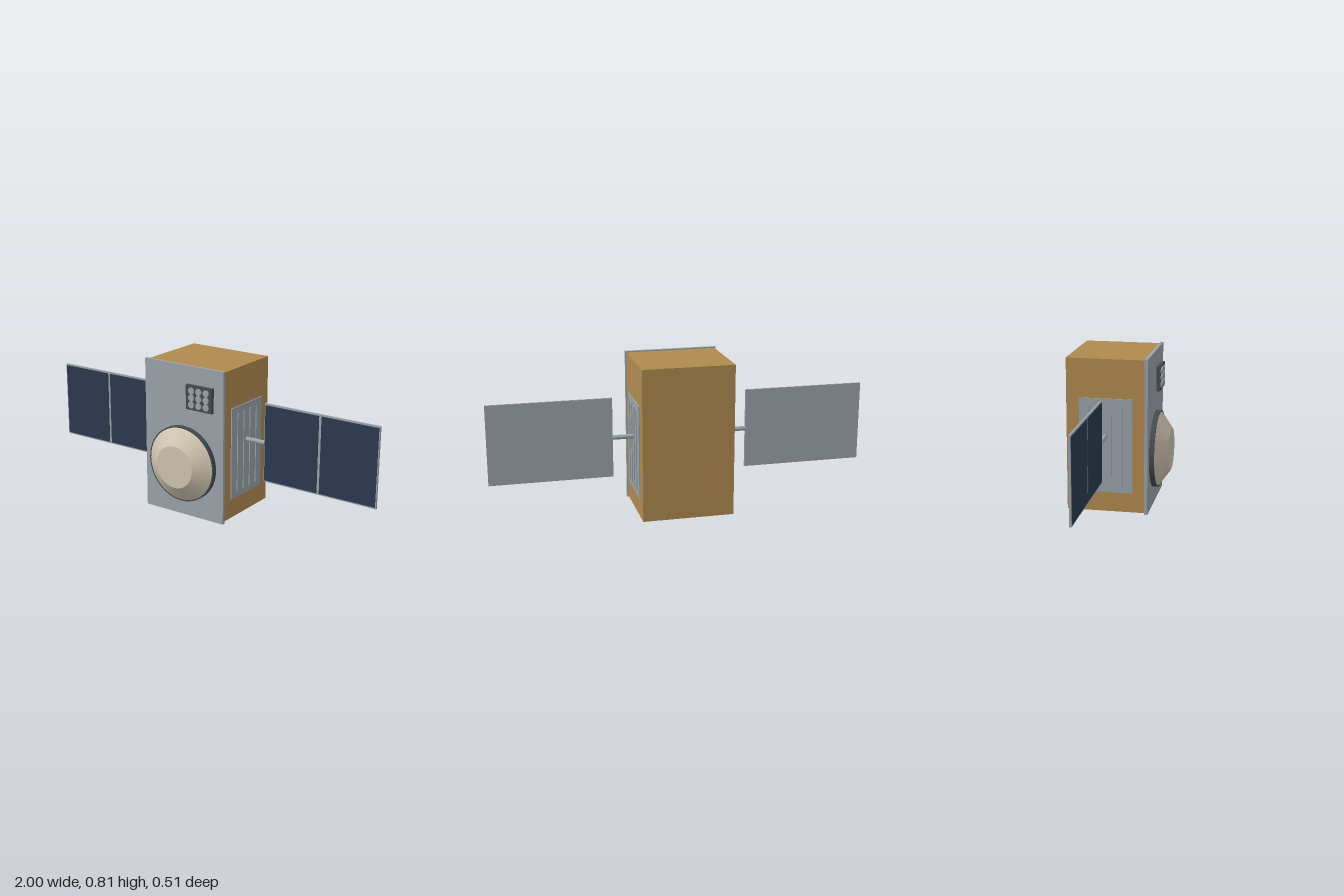
import * as THREE from 'three';

const mat = (name, color) => {
  const m = new THREE.MeshStandardMaterial({ color });
  m.name = name;
  return m;
};

export function createModel() {
  const gold = mat('gold foil', 0xb08a4f);
  const grey = mat('light grey metal', 0x9aa3aa);
  const dark = mat('dark grey metal', 0x434c52);
  const cream = mat('cream dish', 0xcfc5af);
  const navy = mat('navy solar cell', 0x2c3a4f);

  const model = new THREE.Group();
  model.name = 'satellite';

  const add = (parent, name, geometry, material, x, y, z) => {
    const mesh = new THREE.Mesh(geometry, material);
    mesh.name = name;
    mesh.position.set(x, y, z);
    parent.add(mesh);
    return mesh;
  };
  // Box given by its minimum and maximum corners
  const box = (parent, name, material, x0, x1, y0, y1, z0, z1) =>
    add(parent, name, new THREE.BoxGeometry(x1 - x0, y1 - y0, z1 - z0), material,
      (x0 + x1) / 2, (y0 + y1) / 2, (z0 + z1) / 2);
  // Disc or cone frustum pointing along +z, from z0 to z1
  const round = (parent, name, material, rBack, rFront, x, y, z0, z1, sides) =>
    add(parent, name, new THREE.CylinderGeometry(rFront, rBack, z1 - z0, sides).rotateX(Math.PI / 2),
      material, x, y, (z0 + z1) / 2);

  // Foil-wrapped body and front plate
  box(model, 'body', gold, -0.24, 0.24, 0.008, 0.807, -0.253, 0.15);
  box(model, 'frontPlate', grey, -0.246, 0.246, 0, 0.813, 0.15, 0.167);

  // Dish antenna
  const dish = new THREE.Group();
  dish.name = 'dishAntenna';
  model.add(dish);
  round(dish, 'dishRim', dark, 0.203, 0.203, 0, 0.288, 0.167, 0.193, 48);
  round(dish, 'dishCone', cream, 0.196, 0.113, 0, 0.288, 0.193, 0.253, 48);

  // Small antenna block with nine elements
  const array = new THREE.Group();
  array.name = 'antennaArray';
  model.add(array);
  box(array, 'arrayBase', dark, 0.027, 0.187, 0.59, 0.72, 0.167, 0.185);
  for (let i = -1; i <= 1; i++) {
    for (let j = -1; j <= 1; j++) {
      round(array, 'arrayElement', grey, 0.018, 0.018,
        0.107 + i * 0.045, 0.655 + j * 0.037, 0.185, 0.19, 12);
    }
  }

  // Mirrored sides: radiator, arm and solar wing
  for (const s of [1, -1]) {
    const side = new THREE.Group();
    side.name = s > 0 ? 'leftSide' : 'rightSide';
    model.add(side);
    const sideBox = (name, material, x0, x1, ...rest) =>
      box(side, name, material, Math.min(s * x0, s * x1), Math.max(s * x0, s * x1), ...rest);

    sideBox('radiator', grey, 0.24, 0.246, 0.112, 0.605, -0.187, 0.09);
    for (const z of [0.037, -0.02, -0.077, -0.135]) {
      sideBox('radiatorRib', grey, 0.246, 0.251, 0.144, 0.573, z - 0.0035, z + 0.0035);
    }

    add(side, 'wingArm', new THREE.CylinderGeometry(0.012, 0.012, 0.125, 16).rotateZ(Math.PI / 2),
      grey, s * 0.2975, 0.408, -0.05);

    sideBox('wingPanel', grey, 0.356, 1, 0.197, 0.62, -0.056, -0.045);
    sideBox('innerSolarCell', navy, 0.36, 0.67, 0.205, 0.612, -0.045, -0.043);
    sideBox('outerSolarCell', navy, 0.684, 0.995, 0.205, 0.612, -0.045, -0.043);
  }

  return model;
}
